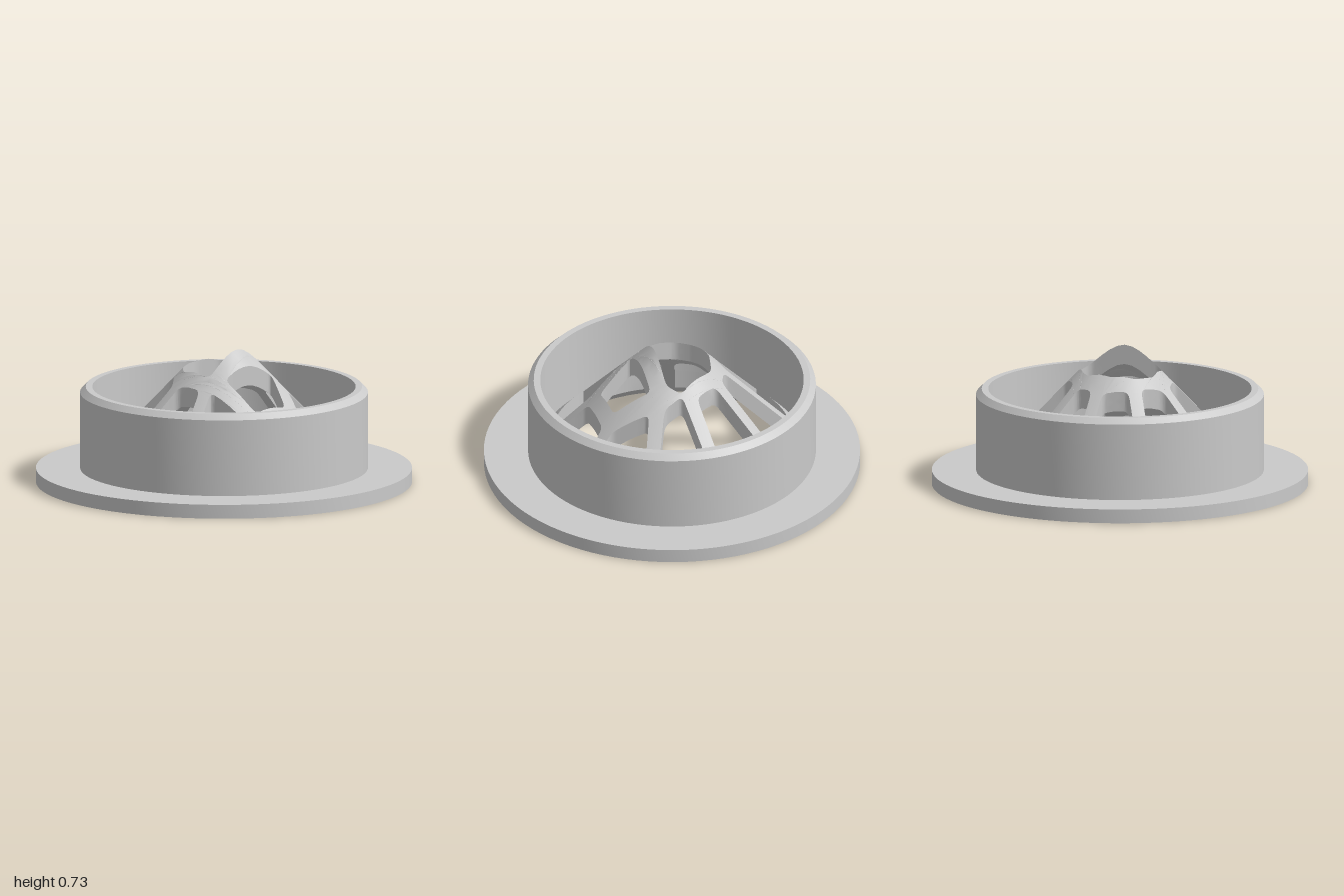
import * as THREE from 'three';
import { toCreasedNormals } from 'three/addons/utils/BufferGeometryUtils.js';

const SEGMENTS = 96;
const BORE = 0.7;        // inner radius of the collar
const HOLE_RADIUS = 0.64; // outer edge of the grille openings
const THICK = 0.105;     // vertical thickness of the grille
const SLOPE = 1.05;      // steepness of the grille cone
const V = (x, z) => new THREE.Vector2(x, -z);

// Outer openings: two ends of the rim arc, then the inner corners (x, z)
const outerCells = [
  [-0.535, -0.35, -0.26, -0.57, -0.14, -0.24, -0.21, -0.18],
  [-0.205, -0.605, 0.14, -0.62, 0.065, -0.27, -0.075, -0.26],
  [0.205, -0.605, 0.49, -0.41, 0.235, -0.2, 0.13, -0.225],
  [0.53, -0.355, 0.64, -0.01, 0.445, -0.01, 0.3, -0.15],
  [0.635, 0.06, 0.47, 0.425, 0.35, 0.28, 0.445, 0.06],
  [0.43, 0.47, 0.055, 0.635, 0.055, 0.285, 0.29, 0.315],
  [-0.01, 0.64, -0.38, 0.51, -0.15, 0.245, -0.01, 0.285],
  [-0.445, 0.465, -0.63, 0.105, -0.255, 0.08, -0.205, 0.205],
  [-0.64, 0.035, -0.565, -0.285, -0.255, -0.13, -0.275, 0.01],
];
// Closed openings around the tip (x, z)
const innerCells = [
  [-0.11, -0.19, -0.05, -0.205, 0.13, -0.215, 0.168, -0.14, 0.025, 0.215,
    -0.01, 0.225, -0.165, 0.155, -0.215, 0.06, -0.2, -0.07],
  [0.235, -0.09, 0.38, 0.045, 0.3, 0.24, 0.105, 0.21],
];

const toPoints = (n) => Array.from({ length: n.length / 2 }, (_, i) => V(n[2 * i], n[2 * i + 1]));

// Rounded corner at b between neighbours a and c
function corner(a, b, c, radius = 0.028) {
  const toward = (p) => b.clone().lerp(p, Math.min(radius / b.distanceTo(p), 0.4));
  return new THREE.QuadraticBezierCurve(toward(a), b, toward(c)).getPoints(4);
}

function outerHole(numbers) {
  const [p, q, r, s] = toPoints(numbers);
  const from = -p.angle();
  let sweep = -q.angle() - from;
  while (sweep < 0) sweep += Math.PI * 2;
  const arc = [];
  for (let i = 0; i <= 14; i++) {
    const t = from + (sweep * i) / 14;
    arc.push(V(HOLE_RADIUS * Math.cos(t), HOLE_RADIUS * Math.sin(t)));
  }
  return new THREE.Path([...arc, ...corner(arc[14], r, s), ...corner(r, s, arc[0])]);
}

function innerHole(numbers) {
  const p = toPoints(numbers);
  const n = p.length;
  return new THREE.Path(p.flatMap((b, i) => corner(p[(i + n - 1) % n], b, p[(i + 1) % n])));
}

// Halve the longest edge of each triangle until all edges are short
function subdivide(geometry, limit) {
  const pos = geometry.attributes.position;
  const out = [];
  const split = (a, b, c) => {
    const ab = a.distanceTo(b), bc = b.distanceTo(c), ca = c.distanceTo(a);
    const longest = Math.max(ab, bc, ca);
    if (longest < limit) {
      out.push(...a.toArray(), ...b.toArray(), ...c.toArray());
    } else if (longest === ab) {
      const m = a.clone().lerp(b, 0.5);
      split(a, m, c); split(m, b, c);
    } else if (longest === bc) split(b, c, a);
    else split(c, a, b);
  };
  for (let i = 0; i < pos.count; i += 3) {
    split(...[0, 1, 2].map((k) => new THREE.Vector3().fromBufferAttribute(pos, i + k)));
  }
  const result = new THREE.BufferGeometry();
  result.setAttribute('position', new THREE.Float32BufferAttribute(out, 3));
  return result;
}

function grilleGeometry() {
  // Rim runs counter-clockwise and the openings clockwise
  const rim = [];
  for (let i = 0; i < SEGMENTS; i++) {
    const t = (-i / SEGMENTS) * Math.PI * 2;
    rim.push(V(BORE * Math.cos(t), BORE * Math.sin(t)));
  }
  const shape = new THREE.Shape(rim);
  shape.holes = [...outerCells.map(outerHole), ...innerCells.map(innerHole)];
  const plate = new THREE.ExtrudeGeometry(shape, { depth: THICK, bevelEnabled: false, curveSegments: 1 });
  plate.rotateX(-Math.PI / 2);
  const geometry = subdivide(plate, 0.06);
  // Lift the flat plate into a cone
  const pos = geometry.attributes.position;
  for (let i = 0; i < pos.count; i++) {
    const r = Math.hypot(pos.getX(i), pos.getZ(i));
    pos.setY(i, pos.getY(i) + SLOPE * (BORE - r));
  }
  return toCreasedNormals(geometry, 0.5);
}

export function createModel() {
  const grey = new THREE.MeshStandardMaterial({ color: 0xcacaca });
  grey.name = 'grey';
  const group = new THREE.Group();
  group.name = 'drainGrate';

  const add = (name, geometry) => {
    const mesh = new THREE.Mesh(geometry, grey);
    mesh.name = name;
    group.add(mesh);
  };

  // Flat flange and chamfered collar in one turned profile
  const profile = [
    [BORE, 0], [1, 0], [1, 0.075], [0.765, 0.075], [0.765, 0.485],
    [0.735, 0.515], [BORE, 0.515], [BORE, 0],
  ].map(([r, y]) => new THREE.Vector2(r, y));
  add('flangeAndCollar', toCreasedNormals(new THREE.LatheGeometry(profile, SEGMENTS), 0.5));

  // Conical grille with irregular openings cut straight down
  add('conicalGrille', grilleGeometry());
  return group;
}
